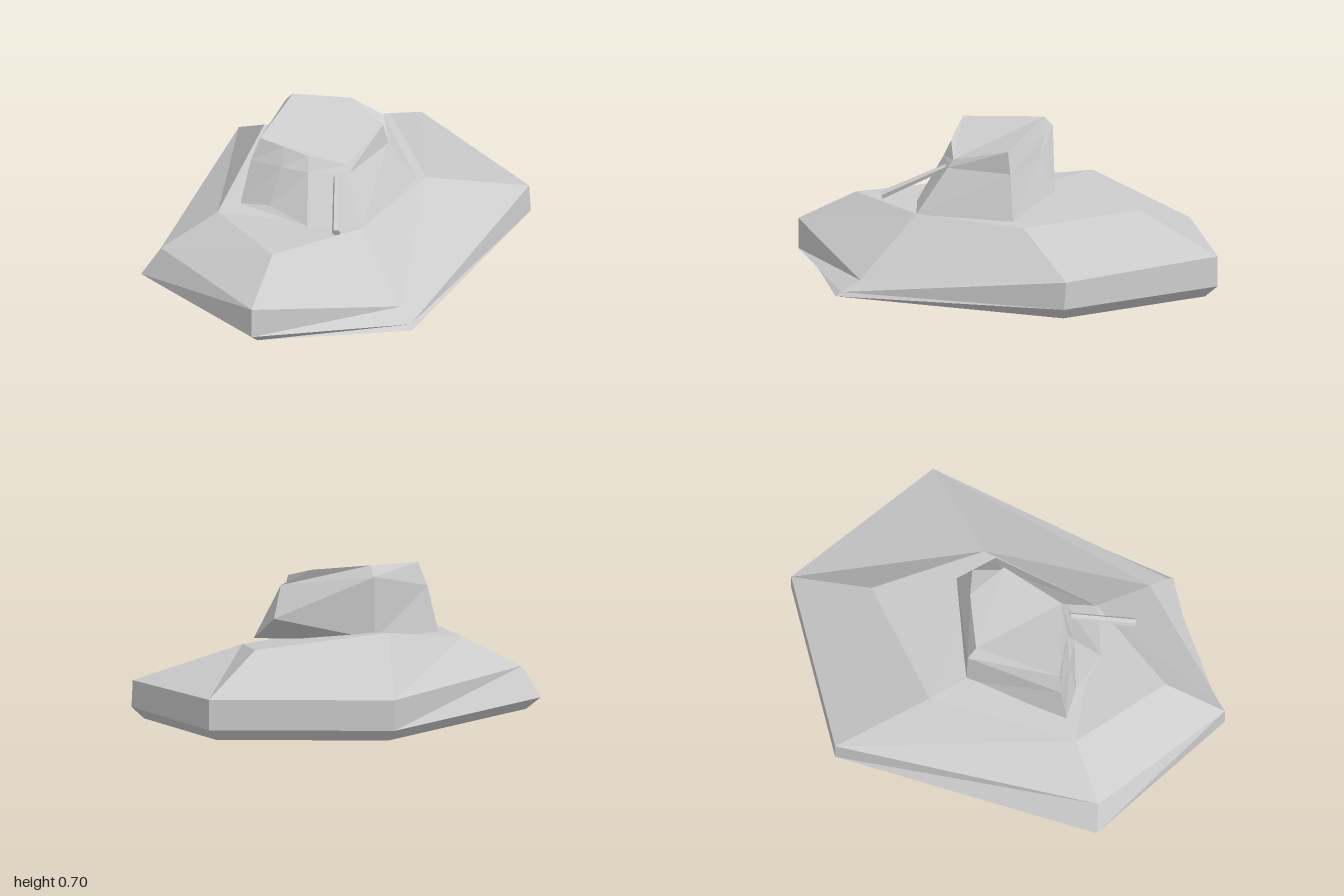
import * as THREE from 'three';

const material = new THREE.MeshStandardMaterial({ color: 0xcccccc, flatShading: true, side: THREE.DoubleSide });

// Faceted solid from stacked rings (bottom to top). Each ring runs front, +x, back, -x.
// flips lists the quads (band * n + i) whose fold runs the other way.
function loft(name, rings, flips = []) {
  const n = rings[0].length;
  const pos = [];
  const tri = (...points) => points.forEach((p) => pos.push(...p));

  for (let r = 0; r < rings.length - 1; r++) {
    for (let i = 0; i < n; i++) {
      const j = (i + 1) % n;
      const a = rings[r][i], b = rings[r][j], c = rings[r + 1][j], d = rings[r + 1][i];
      if (flips.includes(r * n + i)) { tri(a, b, d); tri(b, c, d); }
      else { tri(a, b, c); tri(a, c, d); }
    }
  }

  // Caps are zigzag strips running from the back to the front
  const mid = Math.floor(n / 2), order = [mid];
  for (let k = 1; order.length < n; k++) {
    order.push(mid - k);
    if (order.length < n) order.push(mid + k);
  }
  const top = rings[rings.length - 1], bottom = rings[0];
  for (let k = 0; k < n - 2; k++) {
    const [a, b, c] = order.slice(k, k + 3).sort((p, q) => p - q);
    tri(top[a], top[b], top[c]);
    tri(bottom[c], bottom[b], bottom[a]);
  }

  const geometry = new THREE.BufferGeometry();
  geometry.setAttribute('position', new THREE.Float32BufferAttribute(pos, 3));
  geometry.computeVertexNormals();
  const mesh = new THREE.Mesh(geometry, material);
  mesh.name = name;
  return mesh;
}

// Six-sided hull with uneven, weathered corners
function makeHull() {
  const underside = [[0, 0.015, 0.93], [0.585, 0.002, 0.57], [0.64, 0.01, -0.54],
    [0, 0.015, -0.94], [-0.64, 0.015, -0.54], [-0.62, 0.015, 0.59]];
  const skirt = [[0, 0.065, 1], [0.57, 0.02, 0.55], [0.69, 0.06, -0.565],
    [0, 0.065, -1], [-0.69, 0.065, -0.57], [-0.67, 0.065, 0.63]];
  const shoulder = [[0, 0.2, 1], [0.5, 0.065, 0.49], [0.68, 0.18, -0.57],
    [0, 0.2, -1], [-0.69, 0.2, -0.57], [-0.585, 0.2, 0.61]];
  const deck = [[-0.01, 0.34, 0.73], [0.25, 0.325, 0.33], [0.335, 0.325, -0.22],
    [0, 0.375, -0.63], [-0.43, 0.435, -0.22], [-0.385, 0.335, 0.44]];
  return loft('hull', [underside, skirt, shoulder, deck], [14]);
}

// Leaning turret, its lower rim partly sunk into the deck
function makeTurret() {
  const rim = [[0.03, 0.335, 0.42], [0.25, 0.322, 0.33], [0.315, 0.345, -0.16],
    [0.13, 0.46, -0.28], [-0.28, 0.38, -0.1], [-0.305, 0.36, 0.37], [-0.17, 0.375, 0.37]];
  const waist = [[-0.01, 0.54, 0.31], [0.145, 0.52, 0.225], [0.205, 0.53, -0.1],
    [0.14, 0.6, -0.21], [-0.275, 0.655, -0.095], [-0.27, 0.565, 0.335], [-0.13, 0.55, 0.325]];
  const roof = [[-0.02, 0.605, 0.28], [0.13, 0.555, 0.205], [0.187, 0.625, -0.08],
    [0, 0.675, -0.175], [-0.235, 0.7, -0.07], [-0.235, 0.67, 0.315], [-0.13, 0.64, 0.3]];
  return loft('turret', [rim, waist, roof]);
}

// Drooping gun barrel
function makeGun() {
  const from = new THREE.Vector3(0.1, 0.515, 0.25);
  const axis = new THREE.Vector3(0.205, 0.385, 0.515).sub(from);
  const gun = new THREE.Mesh(new THREE.CylinderGeometry(0.019, 0.014, axis.length(), 6), material);
  gun.position.copy(from).addScaledVector(axis, 0.5);
  gun.quaternion.setFromUnitVectors(new THREE.Vector3(0, 1, 0), axis.normalize());
  gun.name = 'gunBarrel';
  return gun;
}

export function createModel() {
  const model = new THREE.Group();
  model.name = 'tank';
  model.add(makeHull(), makeTurret(), makeGun());
  return model;
}
